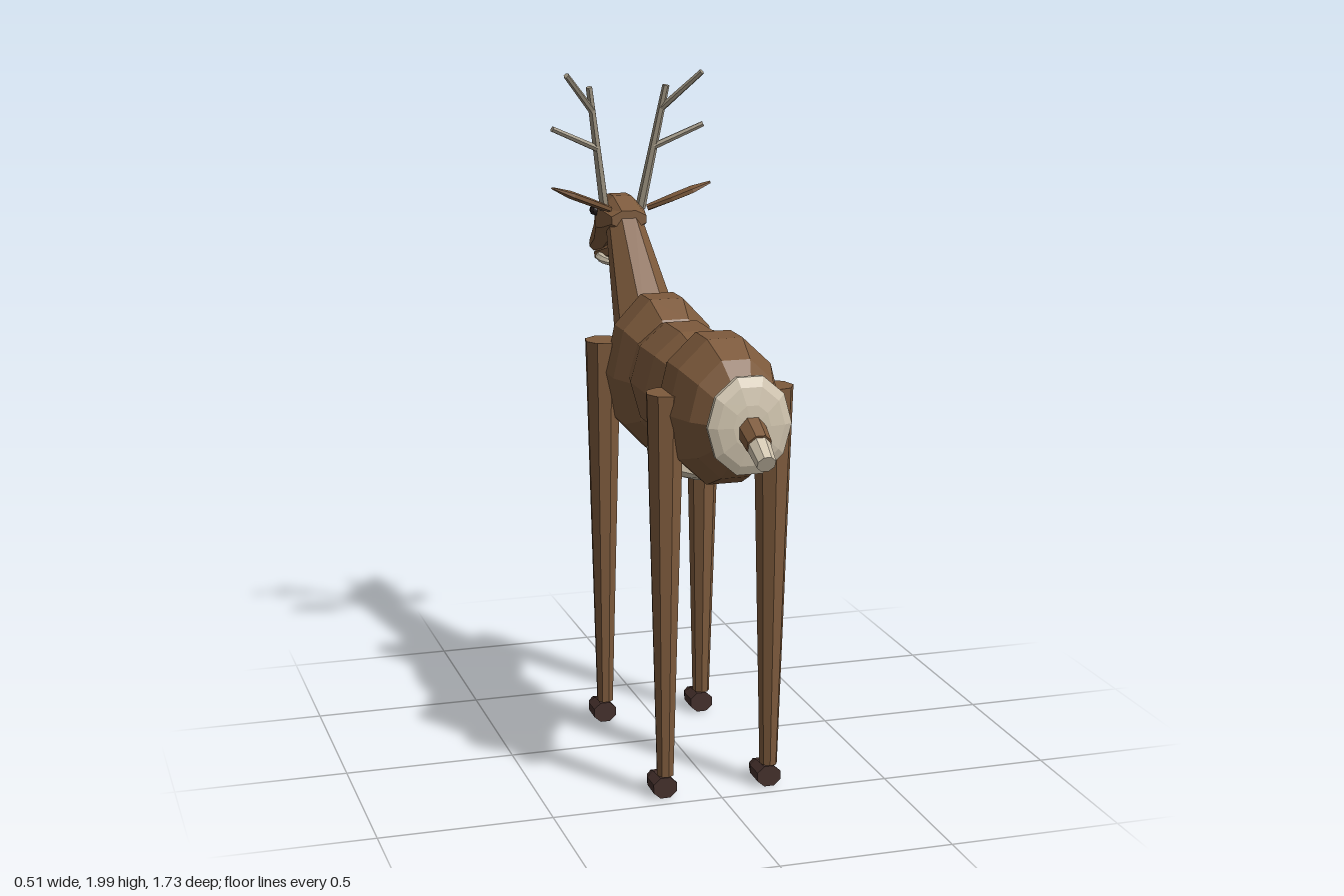
import * as THREE from 'three';

const paint = (name, color) => {
  const m = new THREE.MeshStandardMaterial({ color, flatShading: true });
  m.name = name;
  return m;
};

export function createModel() {
  const brown = paint('brown coat', 0x7d5a3c);
  const cream = paint('cream fur', 0xd0c4ae);
  const bone = paint('antler bone', 0x9f9582);
  const dark = paint('hoof brown', 0x432f2b);
  const black = paint('eye and nose', 0x231b19);

  const model = new THREE.Group();
  model.name = 'deer';

  const add = (name, geometry, material) => {
    const mesh = new THREE.Mesh(geometry, material);
    mesh.name = name;
    model.add(mesh);
    return mesh;
  };

  // Faceted ellipsoid with its poles along z
  const blob = (name, material, [x, y, z], [rx, ry, rz], sides = 10, rings = 7) => {
    const g = new THREE.SphereGeometry(1, sides, rings).rotateX(Math.PI / 2);
    g.scale(rx, ry, rz).translate(x, y, z);
    return add(name, g, material);
  };

  // Tapered rod from a (radius ra) to b (radius rb)
  const rod = (name, material, a, b, ra, rb, sides = 8, flatten = 1) => {
    const from = new THREE.Vector3(...a), to = new THREE.Vector3(...b);
    const g = new THREE.CylinderGeometry(rb, ra, from.distanceTo(to), sides);
    g.rotateY(Math.PI / sides).rotateX(Math.PI / 2).scale(flatten, 1, 1);
    const mesh = add(name, g, material);
    mesh.position.copy(from).add(to).multiplyScalar(0.5);
    mesh.lookAt(to);
    return mesh;
  };

  // Skin over elliptical sections [z, yCentre, rx, ry], z increasing
  const loft = (sections, sides = 8) => {
    const pos = [], idx = [], last = (sections.length - 1) * sides;
    sections.forEach(([z, y, rx, ry], i) => {
      for (let j = 0; j < sides; j++) {
        const t = ((j + 0.5) / sides) * Math.PI * 2;
        pos.push(rx * Math.cos(t), y + ry * Math.sin(t), z);
        const a = i * sides + j, b = i * sides + ((j + 1) % sides);
        if (a < last) idx.push(a, b, a + sides, b, b + sides, a + sides);
      }
    });
    for (let j = 1; j < sides - 1; j++) {
      idx.push(0, j + 1, j, last, last + j, last + j + 1);
    }
    const g = new THREE.BufferGeometry();
    g.setAttribute('position', new THREE.Float32BufferAttribute(pos, 3));
    g.setIndex(idx);
    g.computeVertexNormals();
    return g;
  };

  // Body
  blob('rump', brown, [0, 1.145, 0.45], [0.169, 0.222, 0.24]);
  blob('middle', brown, [0, 1.15, 0.17], [0.158, 0.184, 0.33]);
  blob('chest', brown, [0, 1.13, -0.1], [0.168, 0.248, 0.22]);
  blob('belly', cream, [0, 0.94, 0.185], [0.115, 0.045, 0.23]);
  blob('rumpPatch', cream, [0, 1.155, 0.715], [0.122, 0.145, 0.032]);

  // Tail
  rod('tail', brown, [0, 1.165, 0.69], [0, 1.118, 0.8], 0.044, 0.036);
  rod('tailTip', cream, [0, 1.125, 0.78], [0, 1.082, 0.86], 0.034, 0.027);

  // Neck and head
  rod('neck', brown, [0, 1.16, -0.2], [0, 1.52, -0.51], 0.115, 0.06, 8, 0.95);
  add('head', loft([
    [-0.84, 1.4, 0.025, 0.025],
    [-0.71, 1.46, 0.046, 0.063],
    [-0.59, 1.525, 0.075, 0.08],
    [-0.53, 1.53, 0.075, 0.075],
    [-0.45, 1.535, 0.06, 0.03],
  ]), brown);
  rod('jaw', brown, [0, 1.425, -0.54], [0, 1.372, -0.79], 0.035, 0.022);
  blob('throatPatch', cream, [0, 1.382, -0.65], [0.048, 0.02, 0.1]);
  blob('nose', black, [0, 1.4, -0.842], [0.023, 0.024, 0.02], 8, 5);

  const hoof = loft([
    [-0.125, 0.022, 0.02, 0.022],
    [-0.075, 0.03, 0.035, 0.03],
    [0, 0.033, 0.038, 0.033],
  ]);
  const ear = loft([
    [0, 0, 0.015, 0.01],
    [0.08, 0, 0.04, 0.012],
    [0.15, 0, 0.042, 0.012],
    [0.21, 0, 0.014, 0.004],
  ], 6);

  for (const s of [1, -1]) {
    const side = s > 0 ? 'left' : 'right';

    // Legs and hooves: name, top height, top z, ankle z, hoof z
    for (const [name, y, zTop, zLow, zHoof] of [
      ['FrontLeg', 1.22, -0.187, -0.198, -0.192],
      ['BackLeg', 1.2, 0.458, 0.45, 0.457],
    ]) {
      rod(side + name, brown, [s * 0.158, y, zTop], [s * 0.156, 0.075, zLow], 0.062, 0.028, 8, 0.9);
      add(side + name + 'Hoof', hoof, dark).position.set(s * 0.157, 0.002, zHoof);
    }

    // Eyes and ears
    blob(side + 'Eye', black, [s * 0.072, 1.55, -0.585], [0.018, 0.019, 0.018], 8, 5);
    const e = add(side + 'Ear', ear, brown);
    e.position.set(s * 0.06, 1.57, -0.455);
    e.lookAt(s * 0.25, 1.648, -0.41);

    // Antlers
    rod(side + 'Antler', bone, [s * 0.058, 1.56, -0.525], [s * 0.122, 1.945, -0.46], 0.016, 0.011, 6);
    rod(side + 'LowerTine', bone, [s * 0.092, 1.755, -0.488], [s * 0.24, 1.823, -0.455], 0.011, 0.009, 6);
    rod(side + 'UpperTine', bone, [s * 0.112, 1.875, -0.47], [s * 0.213, 1.99, -0.383], 0.011, 0.009, 6);
  }

  return model;
}
